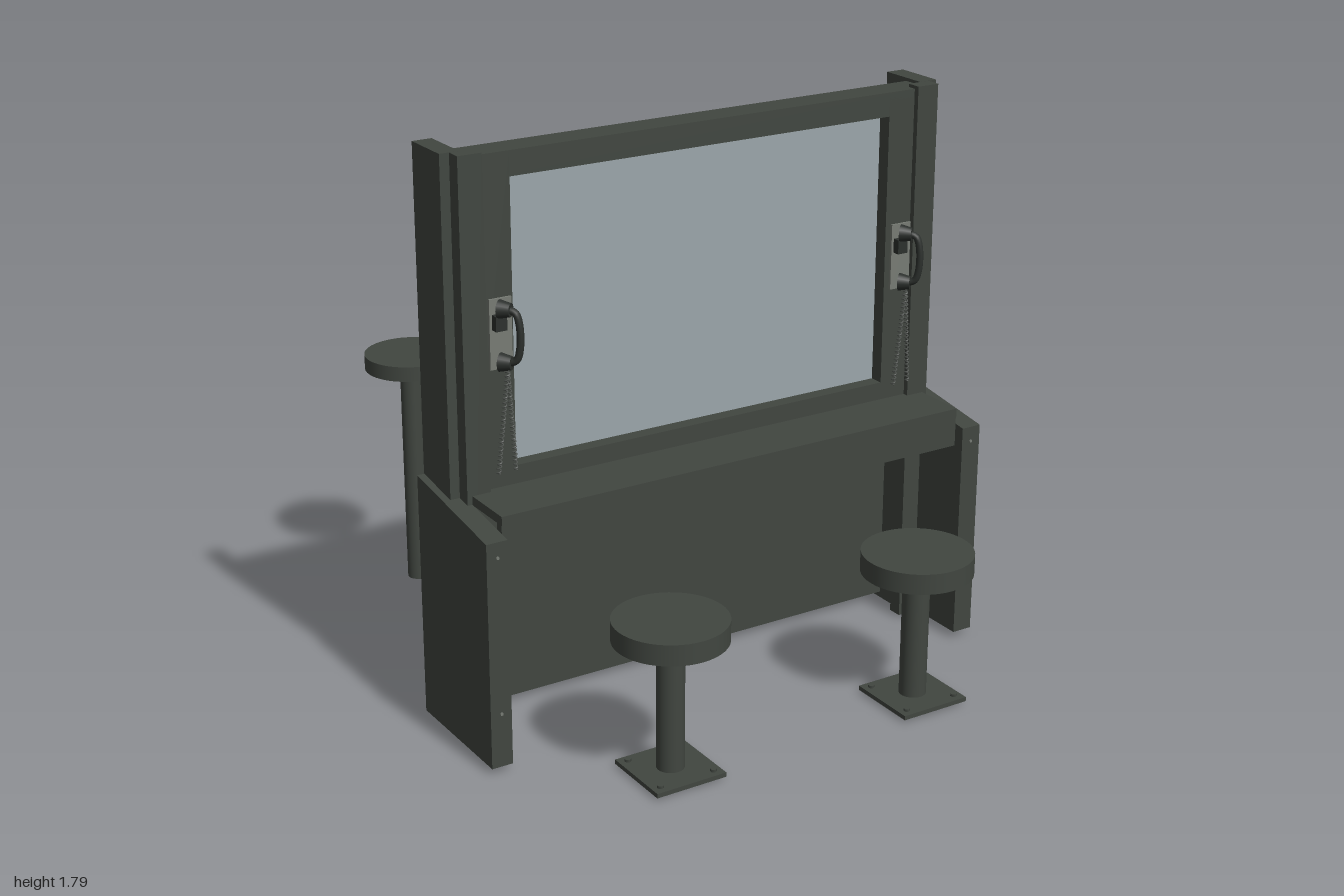
import * as THREE from 'three';

const mat = (name, color) => {
  const m = new THREE.MeshStandardMaterial({ color });
  m.name = name;
  return m;
};

export function createModel() {
  const steel = mat('dark painted steel', 0x414640);
  const black = mat('black plastic', 0x2c302d);
  const plateGrey = mat('brushed plate', 0x777b74);
  const cordGrey = mat('cord metal', 0x555955);
  const glass = mat('window glass', 0x9ba6ab);

  const model = new THREE.Group();
  model.name = 'visitingBooth';

  const add = (parent, name, geometry, material, x = 0, y = 0, z = 0) => {
    const mesh = new THREE.Mesh(geometry, material);
    mesh.name = name;
    mesh.position.set(x, y, z);
    parent.add(mesh);
    return mesh;
  };
  // Box given by its minimum and maximum on each axis
  const block = (parent, name, material, x0, x1, y0, y1, z0, z1) =>
    add(parent, name, new THREE.BoxGeometry(x1 - x0, y1 - y0, z1 - z0), material,
      (x0 + x1) / 2, (y0 + y1) / 2, (z0 + z1) / 2);
  // Upright cylinder between two heights
  const disc = (parent, name, material, r, y0, y1, x = 0, z = 0, sides = 48) =>
    add(parent, name, new THREE.CylinderGeometry(r, r, y1 - y0, sides), material, x, (y0 + y1) / 2, z);

  // The booth stands slightly turned
  const yaw = 0.105;
  const booth = new THREE.Group();
  booth.name = 'booth';
  booth.position.set(-0.0075, 0, 0.305);
  booth.rotation.y = yaw;
  model.add(booth);

  for (const s of [-1, 1]) {
    const span = (a, b) => (s > 0 ? [a, b] : [-b, -a]);
    // Side panel with a top edge sloping down to the front
    const panel = block(booth, 'sidePanel', steel, ...span(0.812, 0.88), 0.02, 0.79, -0.212, 0.2135);
    const p = panel.geometry.attributes.position;
    for (let i = 0; i < p.count; i++) {
      if (p.getY(i) > 0 && p.getZ(i) > 0) p.setY(i, p.getY(i) - 0.062);
    }
    panel.geometry.computeVertexNormals();
    for (const y of [0.19, 0.68]) {
      const screw = add(booth, 'panelScrew', new THREE.CylinderGeometry(0.005, 0.005, 0.004, 10),
        plateGrey, s * 0.845, y, 0.215);
      screw.rotation.x = Math.PI / 2;
    }
    // Column, front post and window stile
    block(booth, 'column', steel, ...span(0.795, 0.857), 0, 1.79, -0.2135, -0.046);
    block(booth, 'frontPost', steel, ...span(0.751, 0.827), 0.01, 1.79, -0.045, 0.003);
    block(booth, 'windowStile', steel, ...span(0.657, 0.8), 0.785, 1.78, -0.115, -0.015);
  }

  // Window frame rails and pane
  block(booth, 'topRail', steel, -0.78, 0.78, 1.705, 1.78, -0.115, -0.015);
  block(booth, 'bottomRail', steel, -0.78, 0.78, 0.78, 0.842, -0.115, -0.015);
  block(booth, 'windowPane', glass, -0.66, 0.66, 0.84, 1.707, -0.069, -0.061);

  // Counter, its front apron and the lower wall
  block(booth, 'counter', steel, -0.811, 0.811, 0.757, 0.785, -0.138, 0.18);
  block(booth, 'counterApron', steel, -0.811, 0.811, 0.66, 0.757, 0.15, 0.178);
  block(booth, 'lowerWall', steel, -0.8, 0.8, 0.02, 0.72, -0.19, -0.16);

  // Coiled cord strand between two points
  const coil = (a, b, turns) => {
    const pts = [];
    for (let i = 0; i <= turns * 6; i++) {
      const t = i / (turns * 6), w = t * turns * Math.PI * 2;
      pts.push(new THREE.Vector3().lerpVectors(a, b, t)
        .add(new THREE.Vector3(Math.cos(w) * 0.006, 0, Math.sin(w) * 0.006)));
    }
    return new THREE.TubeGeometry(new THREE.CatmullRomCurve3(pts), turns * 8, 0.0025, 4);
  };

  // Wall telephones
  for (const x of [-0.7, 0.712]) {
    const phone = new THREE.Group();
    phone.name = 'telephone';
    phone.position.set(x, 1.255, -0.015);
    booth.add(phone);
    block(phone, 'backPlate', plateGrey, -0.036, 0.036, -0.105, 0.105, 0, 0.008);
    block(phone, 'cradle', black, -0.028, 0.008, 0.015, 0.06, 0.008, 0.032);

    const handset = new THREE.Group();
    handset.name = 'handset';
    handset.position.set(-0.008, 0, 0.022);
    handset.rotation.y = 0.7;
    phone.add(handset);
    for (const y of [-0.08, 0.078]) {
      const cap = add(handset, 'handsetCap', new THREE.CylinderGeometry(0.02, 0.028, 0.036, 20), black, 0, y, 0.014);
      cap.rotation.x = Math.PI / 2;
    }
    const grip = new THREE.CatmullRomCurve3([[-0.08, 0.025], [-0.07, 0.046], [-0.035, 0.057],
      [0.035, 0.057], [0.07, 0.046], [0.078, 0.025]].map(([y, z]) => new THREE.Vector3(0, y, z)));
    add(handset, 'handsetGrip', new THREE.TubeGeometry(grip, 24, 0.011, 10), black);

    const top = new THREE.Vector3(0.004, -0.1, 0.035);
    add(phone, 'cord', coil(top, new THREE.Vector3(-0.033, -0.415, 0.035), 24), cordGrey);
    add(phone, 'cord', coil(top, new THREE.Vector3(0.026, -0.415, 0.03), 24), cordGrey);
  }

  // Low stools on bolted base plates
  for (const [x, z] of [[-0.39, 0.82], [0.483, 0.73]]) {
    const stool = new THREE.Group();
    stool.name = 'frontStool';
    stool.position.set(x, 0, z);
    stool.rotation.y = yaw;
    model.add(stool);
    disc(stool, 'seat', steel, 0.172, 0.43, 0.495);
    disc(stool, 'seatFlange', steel, 0.08, 0.418, 0.43);
    disc(stool, 'post', steel, 0.042, 0.02, 0.42);
    block(stool, 'basePlate', steel, -0.117, 0.117, 0.008, 0.022, -0.117, 0.117);
    for (const bx of [-0.09, 0.09]) {
      for (const bz of [-0.09, 0.09]) disc(stool, 'baseBolt', steel, 0.01, 0.022, 0.03, bx, bz, 6);
    }
  }

  // Tall stools behind the booth
  for (const [x, z] of [[-0.58, -0.752], [0.34, -0.848]]) {
    const stool = new THREE.Group();
    stool.name = 'backStool';
    stool.position.set(x, 0, z);
    model.add(stool);
    disc(stool, 'seat', steel, 0.152, 0.775, 0.825);
    disc(stool, 'post', steel, 0.037, 0.017, 0.775);
  }

  return model;
}
